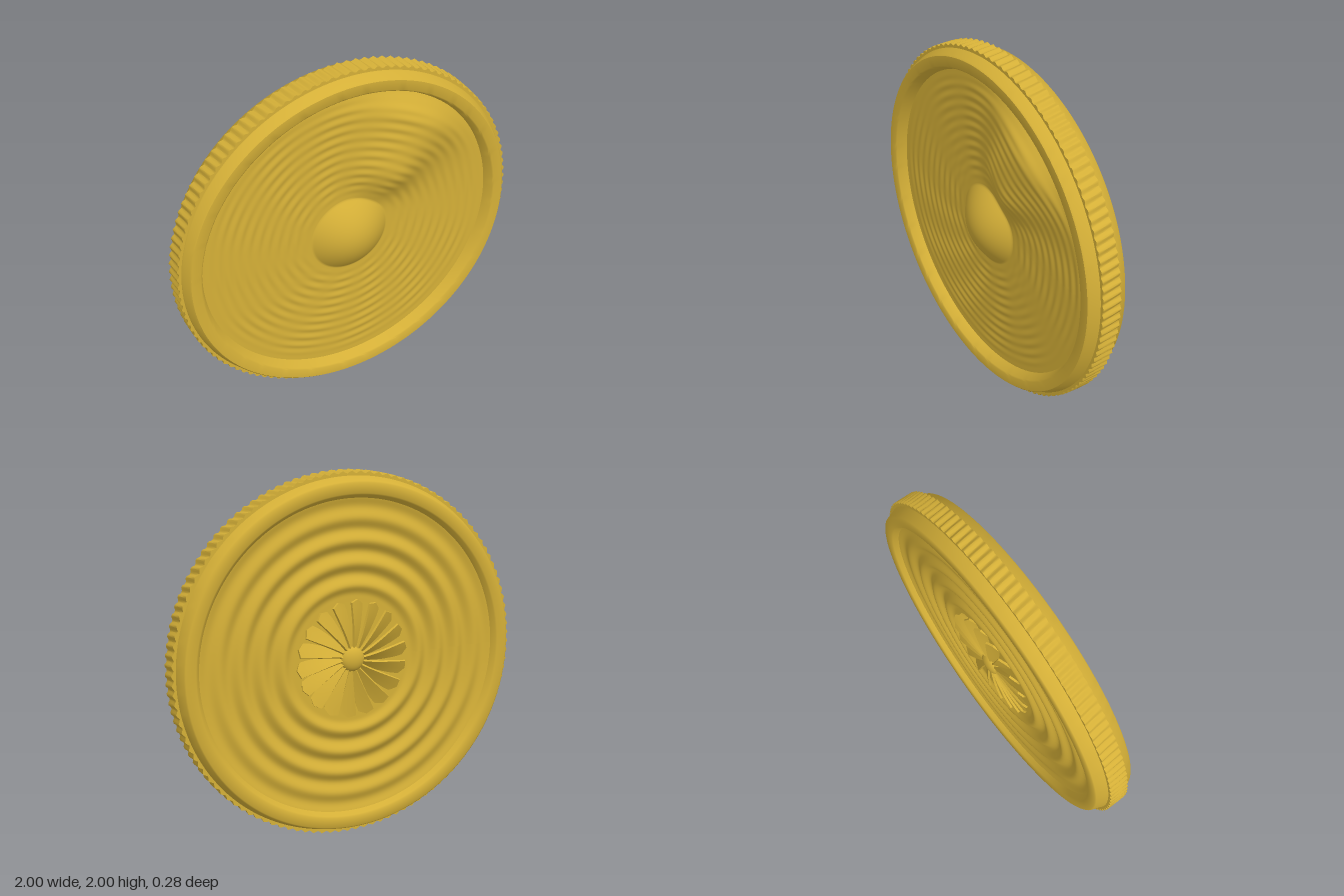
import * as THREE from 'three';
import { toCreasedNormals } from 'three/addons/utils/BufferGeometryUtils.js';

const gold = new THREE.MeshStandardMaterial({ color: 0xd4af37 });
const { smoothstep } = THREE.MathUtils;

function part(name, geometry, parent) {
  const mesh = new THREE.Mesh(geometry, gold);
  mesh.name = name;
  parent.add(mesh);
  return mesh;
}

// Ring of revolution about the z axis; profile is [radius, z]
function ring(profile, segments) {
  const g = new THREE.LatheGeometry(profile.map(p => new THREE.Vector2(...p)), segments);
  g.rotateX(Math.PI / 2);
  return g;
}

// Round face whose z follows a height rule of radius and angle
function relief(radius, around, across, height) {
  const g = new THREE.RingGeometry(0, radius, around, across);
  const p = g.attributes.position;
  for (let i = 0; i < p.count; i++) {
    const x = p.getX(i), y = p.getY(i);
    p.setZ(i, height(Math.hypot(x, y), Math.atan2(y, x)));
  }
  g.computeVertexNormals();
  return g;
}

// Front: central dome, one broad swelling at upper right, fine swirling ripples
function frontHeight(r, a) {
  const d = Math.atan2(Math.sin(a - 0.97), Math.cos(a - 0.97));
  const swell = Math.exp(-((d / (d < 0 ? 0.4 : 0.5)) ** 2))
    * smoothstep(r, 0.16, 0.45) * (1 - smoothstep(r, 0.74, 0.91));
  const fade = smoothstep(r, 0.22, 0.34) * (1 - smoothstep(r, 0.76, 0.86));
  const ripple = Math.sin(r * 112 + a) * (0.7 + 0.3 * Math.sin(12 * a + 9 * r));
  const field = 0.04 + 0.093 * swell + 0.0028 * fade * ripple;
  const dome = 0.04 + 0.1 * (1 - (r / 0.225) ** 2);
  return Math.max(field, dome);
}

// Back: concentric waves around a flat sunken centre
function backHeight(r) {
  const fade = smoothstep(r, 0.32, 0.4) * (1 - 0.5 * smoothstep(r, 0.6, 0.86));
  return 0.092 + 0.008 * smoothstep(r, 0.32, 0.38)
    + 0.013 * fade * Math.sin((r - 0.37) * Math.PI * 2 / 0.12);
}

// Tapered blade, wider and tilted toward the tip
function bladeGeometry() {
  const g = new THREE.BoxGeometry(0.27, 1, 0.012, 8, 2, 1);
  const p = g.attributes.position;
  for (let i = 0; i < p.count; i++) {
    const t = p.getX(i) / 0.27 + 0.5;
    const w = p.getY(i) * (0.022 + 0.062 * Math.sin(Math.PI * Math.min(1, t * 0.85) * 0.6));
    const tilt = 0.75 - 0.35 * t;
    const z = p.getZ(i);
    p.setXYZ(i, 0.055 + 0.27 * t - Math.abs(p.getY(i)) * 0.04 * t,
      w * Math.cos(tilt) - z * Math.sin(tilt) + 0.03 * t * t,
      0.105 + w * Math.sin(tilt) + z * Math.cos(tilt));
  }
  return toCreasedNormals(g, 0.6);
}

export function createModel() {
  const model = new THREE.Group();
  model.name = 'medallion';
  const disc = new THREE.Group();
  disc.name = 'disc';
  disc.position.y = 1;
  model.add(disc);

  // Raised rims with bevelled outer edges
  const rim = ring([
    [0.855, -0.09], [0.862, -0.102], [0.882, -0.13], [0.89, -0.136],
    [0.945, -0.136], [0.953, -0.13], [0.972, -0.075], [0.975, -0.07],
    [0.975, 0.04], [0.972, 0.045], [0.953, 0.092], [0.946, 0.099],
    [0.892, 0.099], [0.884, 0.094], [0.864, 0.044], [0.855, 0.03],
  ], 160);
  part('rim', toCreasedNormals(rim, 0.7), disc);

  // Knurled edge band: slightly slanted teeth
  const teeth = 120;
  const band = ring([[0.95, -0.07], [1, -0.07], [1, -0.015], [1, 0.04], [0.95, 0.04]], teeth * 4);
  const p = band.attributes.position;
  for (let i = 0; i < p.count; i++) {
    const x = p.getX(i), y = p.getY(i), z = p.getZ(i);
    if (Math.hypot(x, y) < 0.98) continue;
    const s = 0.993 + 0.007 * Math.cos(teeth * Math.atan2(y, x) + z * 20);
    p.setXYZ(i, x * s, y * s, z);
  }
  part('knurledEdge', toCreasedNormals(band, 0.9), disc);

  part('frontRelief', relief(0.89, 192, 130, frontHeight), disc);

  // Back side, built facing forward then turned round
  const back = new THREE.Group();
  back.name = 'back';
  back.rotation.y = Math.PI;
  disc.add(back);
  part('backRelief', relief(0.87, 128, 96, backHeight), back);

  const hub = part('rotorHub', new THREE.SphereGeometry(0.07, 32, 16), back);
  hub.scale.z = 0.55;
  hub.position.z = 0.1;

  const blade = bladeGeometry();
  const count = 18;
  for (let i = 0; i < count; i++) {
    part('rotorBlade', blade, back).rotation.z = (i / count) * Math.PI * 2;
  }
  return model;
}
